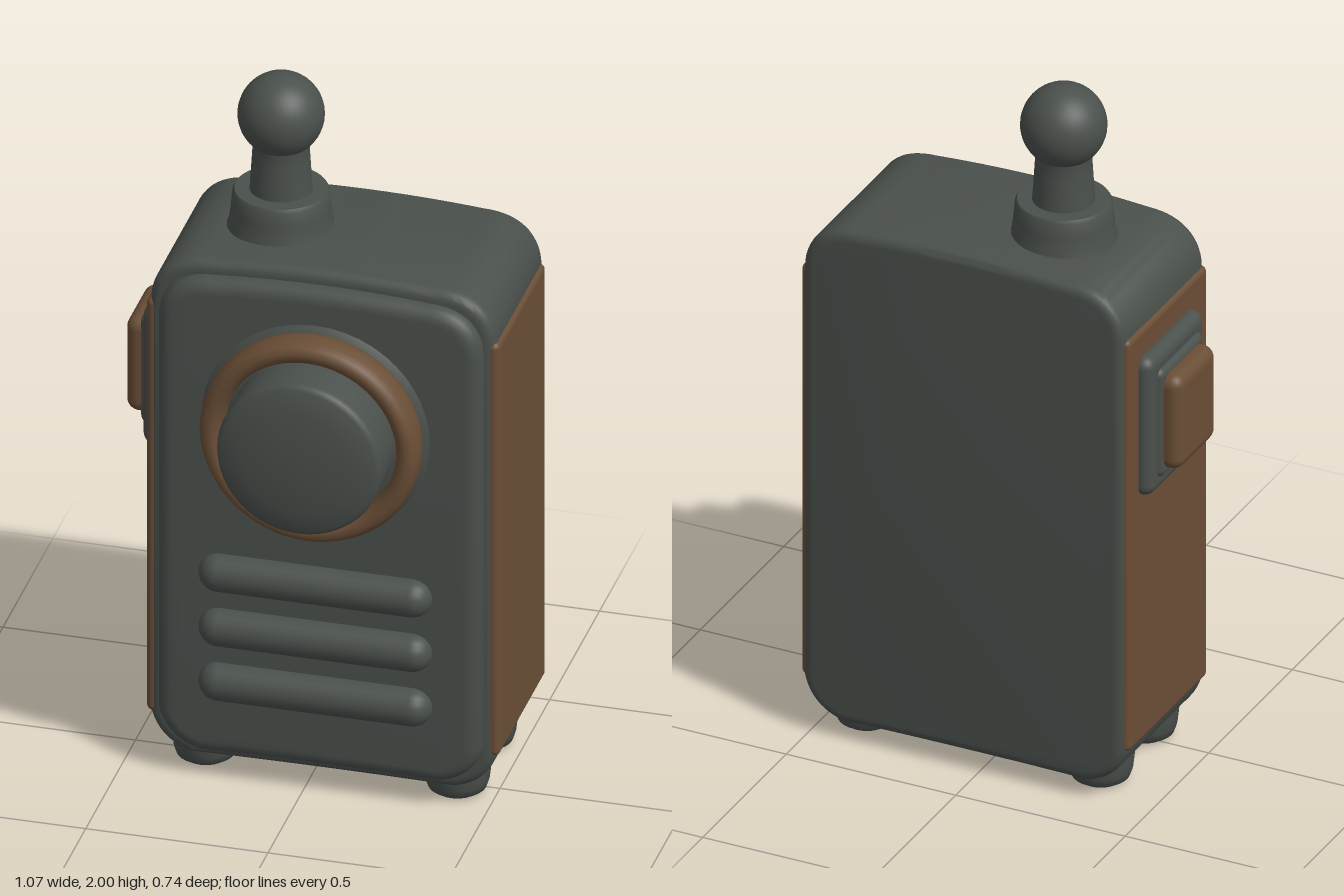
import * as THREE from 'three';
import { toCreasedNormals } from 'three/addons/utils/BufferGeometryUtils.js';
import { RoundedBoxGeometry } from 'three/addons/geometries/RoundedBoxGeometry.js';

const CX = 0.045; // middle of the case

// Rounded outline with slightly domed top and arched bottom edges
function outline(hw, y0, y1, rTop, rBottom, dome) {
  const s = new THREE.Shape();
  s.moveTo(-hw + rBottom, y0);
  s.quadraticCurveTo(0, y0 + dome * 0.5, hw - rBottom, y0);
  s.quadraticCurveTo(hw - rBottom * 0.2, y0 + rBottom * 0.2, hw, y0 + rBottom);
  s.lineTo(hw, y1 - rTop);
  s.bezierCurveTo(hw, y1 - rTop * 0.4, hw - rTop * 0.4, y1 - dome, hw - rTop, y1 - dome);
  s.quadraticCurveTo(0, y1 + dome, -hw + rTop, y1 - dome);
  s.bezierCurveTo(-hw + rTop * 0.4, y1 - dome, -hw, y1 - rTop * 0.4, -hw, y1 - rTop);
  s.lineTo(-hw, y0 + rBottom);
  s.quadraticCurveTo(-hw + rBottom * 0.2, y0 + rBottom * 0.2, -hw + rBottom, y0);
  return s;
}

// Slab with bevelled rims, spanning z0..z1; outer size includes the bevel
function slab(hw, y0, y1, z0, z1, bevel, rTop, rBottom, dome) {
  const shape = outline(hw - bevel, y0 + bevel, y1 - bevel, rTop, rBottom, dome);
  const geo = new THREE.ExtrudeGeometry(shape, {
    depth: z1 - z0 - 2 * bevel, bevelEnabled: true, bevelSize: bevel,
    bevelThickness: bevel, bevelSegments: 5, curveSegments: 14,
  });
  geo.translate(CX, 0, z0 + bevel);
  return toCreasedNormals(geo, 0.8);
}

function lathe(points, segments = 48) {
  const geo = new THREE.LatheGeometry(points.map(([r, y]) => new THREE.Vector2(r, y)), segments);
  return toCreasedNormals(geo, 0.75);
}

export function createModel() {
  const root = new THREE.Group();
  const grey = new THREE.MeshStandardMaterial({ color: 0x4a504c });
  grey.name = 'dark grey';
  const brown = new THREE.MeshStandardMaterial({ color: 0x6a4e36 });
  brown.name = 'brown';

  const add = (name, geo, mat, x = 0, y = 0, z = 0, parent = root) => {
    const m = new THREE.Mesh(geo, mat);
    m.name = name;
    m.position.set(x, y, z);
    parent.add(m);
    return m;
  };

  // Case and its stepped front
  add('case', slab(0.475, 0.05, 1.562, -0.37, 0.125, 0.03, 0.13, 0.09, 0.012), grey);
  add('frontPlate', slab(0.445, 0.08, 1.525, 0.06, 0.166, 0.04, 0.11, 0.08, 0.012), grey);

  // Side panels
  for (const side of [-1, 1]) {
    add('sidePanel', new RoundedBoxGeometry(0.05, 1.25, 0.475, 4, 0.018), brown,
      CX + side * 0.46, 0.785, -0.118);
  }

  // Speaker slats
  for (const y of [0.31, 0.475, 0.64]) {
    const slat = add('slat', new THREE.CapsuleGeometry(0.055, 0.53, 10, 20), grey, 0.04, y, 0.165);
    slat.rotation.z = Math.PI / 2;
  }

  // Dial: seat, ring and knob, all facing forward
  const dial = new THREE.Group();
  dial.name = 'dial';
  dial.position.set(0.04, 1.11, 0.16);
  dial.rotation.x = Math.PI / 2;
  root.add(dial);
  add('dialSeat', lathe([[0.32, 0], [0.28, 0.035], [0, 0.035]]), grey, 0, 0, 0, dial);
  add('dialRing', lathe([[0.285, 0.01], [0.297, 0.02], [0.3, 0.035], [0.3, 0.075], [0.29, 0.096],
    [0.275, 0.105], [0.258, 0.103], [0.245, 0.092], [0.238, 0.07], [0.238, 0.02]], 64), brown, 0, 0, 0, dial);
  add('dialKnob', lathe([[0.226, 0.01], [0.226, 0.17], [0.222, 0.182], [0.21, 0.189],
    [0.15, 0.201], [0.08, 0.208], [0, 0.21]]), grey, 0, 0, 0, dial);

  // Side button on the right flank
  add('buttonPlate', new RoundedBoxGeometry(0.07, 0.42, 0.335, 5, 0.034), grey, -0.441, 1.12, -0.132);
  add('buttonBase', new RoundedBoxGeometry(0.05, 0.33, 0.26, 4, 0.024), grey, -0.465, 1.12, -0.13);
  add('button', new RoundedBoxGeometry(0.1, 0.285, 0.23, 5, 0.035), brown, -0.485, 1.12, -0.13);

  // Antenna: collar, stem and ball
  const antenna = new THREE.Group();
  antenna.name = 'antenna';
  antenna.position.set(-0.135, 0, -0.127);
  root.add(antenna);
  add('collar', lathe([[0.15, 1.53], [0.138, 1.57], [0.133, 1.61], [0.13, 1.65], [0.124, 1.66],
    [0.085, 1.66], [0, 1.655]]), grey, 0, 0, 0, antenna);
  add('stem', lathe([[0.086, 1.64], [0.083, 1.67], [0.078, 1.75], [0.075, 1.8], [0.083, 1.83]], 32),
    grey, 0, 0, 0, antenna);
  add('ball', new THREE.SphereGeometry(0.116, 36, 24), grey, 0, 1.884, 0, antenna);

  // Four feet, each with a small dimple underneath
  for (const x of [-0.3, 0.39]) {
    for (const z of [0.025, -0.24]) {
      add('foot', lathe([[0, 0.018], [0.02, 0.018], [0.032, 0.002], [0.06, 0], [0.078, 0.012],
        [0.086, 0.035], [0.09, 0.07], [0.095, 0.13], [0.06, 0.17]], 28), grey, x, 0, z);
    }
  }
  return root;
}
